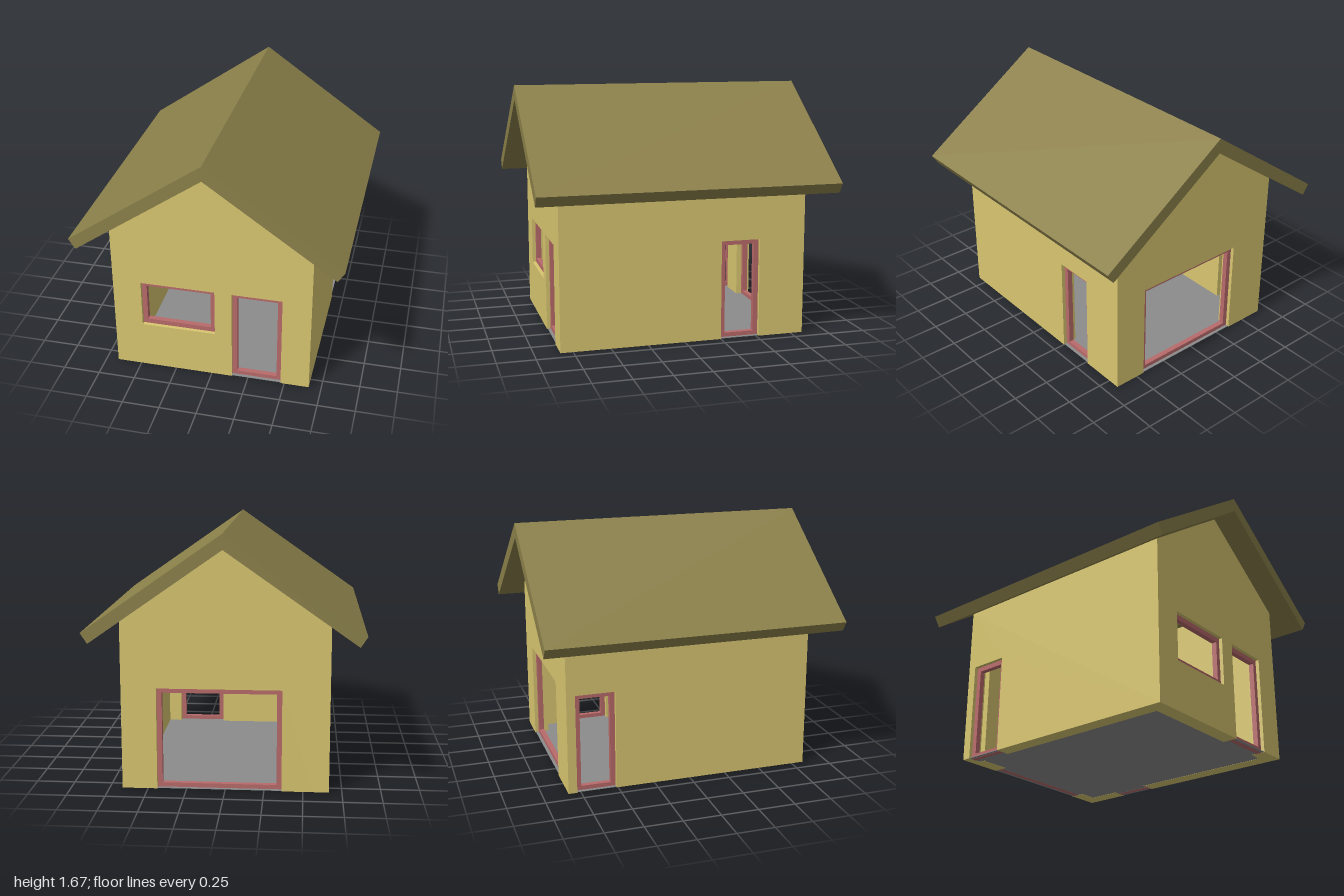
import * as THREE from 'three';

const WALL = 0.1, RIDGE = 1.57, SLOPE = 0.7;
const HALF_W = 0.667, HALF_L = 0.833;

const paint = (color) => new THREE.MeshStandardMaterial({ color, flatShading: true });

function extrude(name, shape, depth, z, material) {
  const geo = new THREE.ExtrudeGeometry(shape, { depth, bevelEnabled: false });
  geo.translate(0, 0, z);
  const mesh = new THREE.Mesh(geo, material);
  mesh.name = name;
  return mesh;
}

const polygon = (pts) => new THREE.Shape(pts.map(([x, y]) => new THREE.Vector2(x, y)));
const rect = (x0, y0, x1, y1) => [[x0, y0], [x1, y0], [x1, y1], [x0, y1]];

// One facade: outer face on local z = 0, with its wall and recessed opening frames.
// Openings are [x0, y0, x1, y1]; those standing on the ground are notched into the outline.
function facade(name, topOutline, openings, wallMat, frameMat) {
  const g = new THREE.Group();
  g.name = name;
  const w = topOutline[topOutline.length - 1][0];
  const outline = [[-w, 0]];
  openings.filter((o) => o[1] === 0).sort((a, b) => a[0] - b[0])
    .forEach(([x0, , x1, y1]) => outline.push([x0, 0], [x0, y1], [x1, y1], [x1, 0]));
  outline.push([w, 0], ...[...topOutline].reverse());
  const shape = polygon(outline);
  openings.filter((o) => o[1] > 0).forEach((o) => shape.holes.push(polygon(rect(...o))));
  g.add(extrude(name + 'Panel', shape, WALL, -WALL, wallMat));

  const f = 0.033;
  openings.forEach(([x0, y0, x1, y1]) => {
    const ring = polygon(rect(x0, y0, x1, y1));
    ring.holes.push(polygon(rect(x0 + f, y0 + f, x1 - f, y1 - f)));
    g.add(extrude(y0 > 0 ? 'windowFrame' : 'doorFrame', ring, 0.035, -0.06, frameMat));
  });
  return g;
}

export function createModel() {
  const house = new THREE.Group();
  house.name = 'house';
  const wallMat = paint(0xd8c670), frameMat = paint(0xb96a6a);
  const roofMat = paint(0x8b804a), floorMat = paint(0x8c8c8c);

  // Gable ends fit between the side walls
  const gw = HALF_W - WALL, gy = RIDGE - SLOPE * gw;
  const gableTop = [[-gw, gy], [0, RIDGE], [gw, gy]];
  const front = facade('frontWall', gableTop,
    [[-0.475, 0.333, 0.025, 0.667], [0.14, 0, 0.475, 0.667]], wallMat, frameMat);
  front.position.z = HALF_L;
  const back = facade('backWall', gableTop, [[-0.44, 0, 0.363, 0.667]], wallMat, frameMat);
  back.position.z = -HALF_L;
  back.rotation.y = Math.PI;

  // Side walls, their tops sloped to meet the roof
  const eave = RIDGE - SLOPE * HALF_W;
  const sideTop = [[-HALF_L, eave], [HALF_L, eave]];
  const left = facade('leftWall', sideTop, [[0.25, 0, 0.517, 0.667]], wallMat, frameMat);
  const right = facade('rightWall', sideTop, [[-0.775, 0, -0.51, 0.667]], wallMat, frameMat);
  [[left, 1], [right, -1]].forEach(([side, s]) => {
    side.position.x = s * HALF_W;
    side.rotation.y = s * Math.PI / 2;
    const geo = side.children[0].geometry, p = geo.attributes.position;
    for (let i = 0; i < p.count; i++) {
      if (p.getY(i) > 1 && p.getZ(i) < -WALL / 2) p.setY(i, eave + SLOPE * WALL);
    }
    geo.computeVertexNormals();
  });
  house.add(front, back, left, right);

  // Two sloping roof slabs meeting at the ridge
  [['leftRoof', 1], ['rightRoof', -1]].forEach(([name, s]) => {
    const shape = polygon([[0, RIDGE], [s * 0.836, 0.985], [s * 0.88, 1.053], [0, 1.668]]);
    house.add(extrude(name, shape, 2, -1, roofMat));
  });

  // Thin floor running under the door openings
  const floor = new THREE.Mesh(
    new THREE.BoxGeometry(2 * HALF_W - 0.01, 0.004, 2 * HALF_L - 0.01), floorMat);
  floor.name = 'floor';
  floor.position.y = 0.003;
  house.add(floor);
  return house;
}
